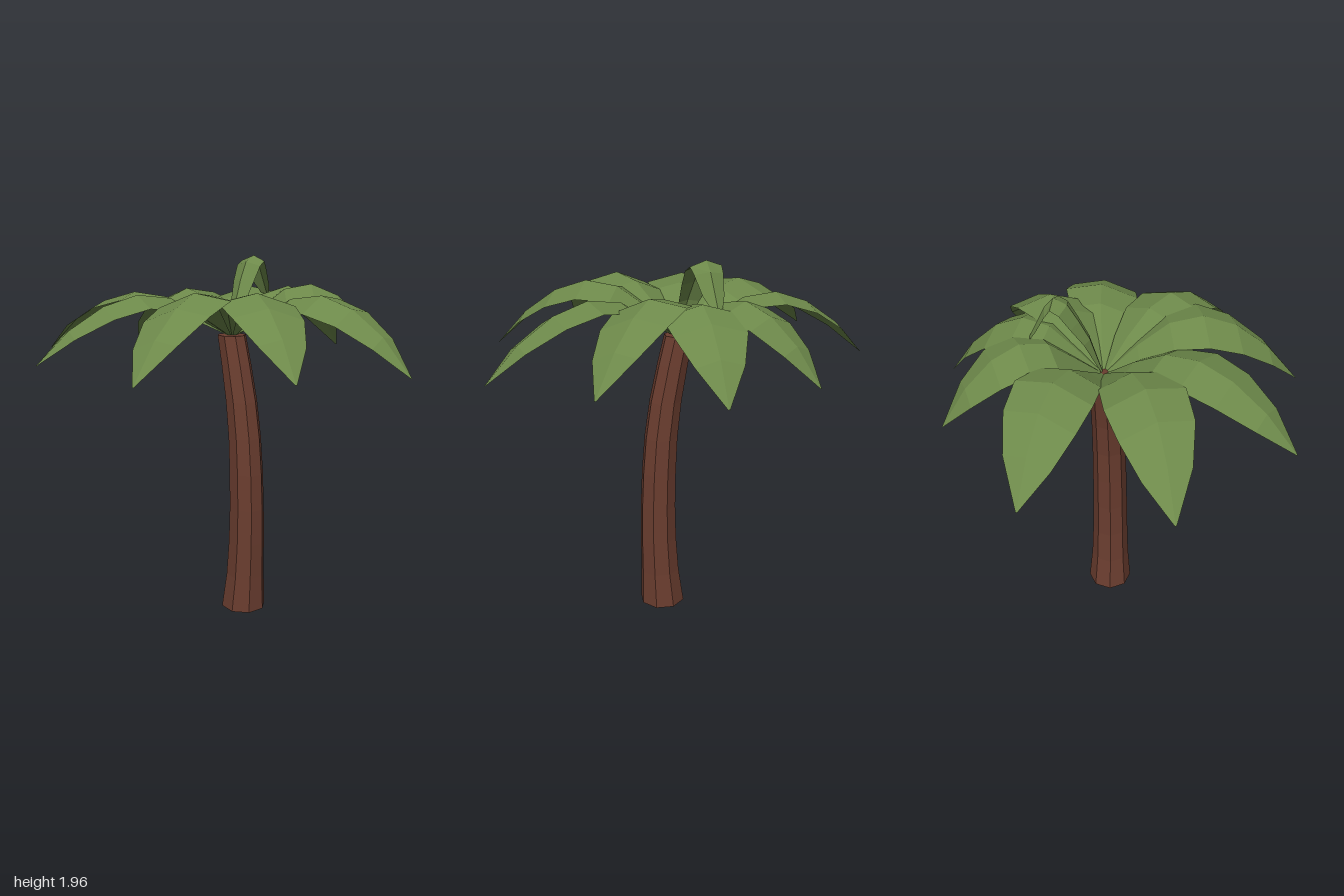
import * as THREE from 'three';

// Faceted skin over rows of [x, y, z] points
function loft(rows) {
  const pos = [], index = [], n = rows[0].length;
  rows.forEach(row => row.forEach(p => pos.push(...p)));
  for (let r = 0; r < rows.length - 1; r++) {
    for (let i = 0; i < n - 1; i++) {
      const a = r * n + i, b = a + 1, c = a + n, d = c + 1;
      index.push(a, c, b, b, c, d);
    }
  }
  const g = new THREE.BufferGeometry();
  g.setAttribute('position', new THREE.Float32BufferAttribute(pos, 3));
  g.setIndex(index);
  const flat = g.toNonIndexed();
  flat.computeVertexNormals();
  return flat;
}

export function createModel() {
  const bark = new THREE.MeshStandardMaterial({ color: 0x6a3d2f, side: THREE.DoubleSide });
  bark.name = 'bark';
  const leaf = new THREE.MeshStandardMaterial({ color: 0x6d894a, side: THREE.DoubleSide });
  leaf.name = 'leafGreen';

  const tree = new THREE.Group();
  tree.name = 'palmTree';
  const add = (name, geometry, material) => {
    const m = new THREE.Mesh(geometry, material);
    m.name = name;
    tree.add(m);
  };

  // Bent eight-sided hollow trunk, open below and closed on top: [y, centre x, radius]
  const sections = [
    [0, 0.077, 0.126], [0.2, 0.09, 0.109], [0.4, 0.098, 0.102], [0.6, 0.099, 0.098],
    [0.8, 0.093, 0.095], [1, 0.08, 0.091], [1.2, 0.054, 0.087], [1.4, 0.014, 0.082],
    [1.55, -0.02, 0.078], [1.55, -0.02, 0],
  ];
  add('trunk', loft(sections.map(([y, x, r]) => {
    const ring = [];
    for (let i = 0; i <= 8; i++) {
      const a = (i % 8) * Math.PI / 4 + 0.57;
      ring.push([x + r * Math.cos(a), y, -0.073 + r * Math.sin(a)]);
    }
    return ring;
  })), bark);

  // Arching fronds: [tip x, tip z, tip y, crown height, sideways bow]
  const cx = -0.02, cz = -0.075, baseY = 1.55;
  const fronds = [
    [-1, -0.24, 1.42, 1.765, 0.04], [-0.97, 0.44, 1.44, 1.77, -0.04],
    [-0.4, 0.915, 1.455, 1.78, 0], [0.3, 0.885, 1.44, 1.81, -0.04],
    [0.84, 0.43, 1.46, 1.81, 0.02], [1, -0.235, 1.42, 1.78, -0.04],
    [0.58, -0.68, 1.44, 1.815, -0.05], [0.05, -0.92, 1.42, 1.79, 0],
    [-0.47, -0.78, 1.42, 1.78, 0.02],
  ];
  // Along a frond: [fraction of length, half width, height from tip (0) to crown (1)]
  const shape = [
    [0.02, 0.012, 0.33], [0.17, 0.09, 0.64], [0.33, 0.16, 0.93], [0.5, 0.193, 1],
    [0.67, 0.175, 0.84], [0.84, 0.115, 0.5], [1, 0.004, 0],
  ];
  fronds.forEach(([tx, tz, tipY, crown, bow], k) => {
    const length = Math.hypot(tx - cx, tz - cz);
    const dx = (tx - cx) / length, dz = (tz - cz) / length;
    const rows = shape.map(([t, w, h], i) => {
      const y = i === 0 ? baseY : tipY + h * (crown - tipY);
      const shift = bow * Math.sin(Math.PI * t);
      return [-1, 0, 1].map(s => {
        const side = s * w + shift;
        // Edges droop, and the bowed side is rolled slightly upward
        return [
          cx + dx * t * length - dz * side,
          y - Math.abs(s) * w * 0.28 + s * w * bow * 3,
          cz + dz * t * length + dx * side,
        ];
      });
    });
    add('frond' + (k + 1), loft(rows), leaf);
  });

  // Young upright frond curling backward: [x, y, z, half width]
  const curl = [
    [-0.02, 1.55, -0.08, 0.012], [-0.045, 1.74, -0.135, 0.055], [-0.06, 1.84, -0.185, 0.075],
    [-0.07, 1.928, -0.237, 0.085], [-0.075, 1.96, -0.305, 0.082], [-0.08, 1.91, -0.35, 0.075],
    [-0.085, 1.81, -0.4, 0.055], [-0.09, 1.73, -0.44, 0.02],
  ];
  add('youngFrond', loft(curl.map(([x, y, z, w], i) => {
    // Edges fold toward the inside of the curl
    const p = curl[Math.max(i - 1, 0)], q = curl[Math.min(i + 1, curl.length - 1)];
    const ty = q[1] - p[1], tz = q[2] - p[2], l = Math.hypot(ty, tz), fold = w * 0.35;
    return [-1, 0, 1].map(s => {
      const f = Math.abs(s) * fold / l;
      return [x + s * w, y + tz * f, z - ty * f];
    });
  })), leaf);

  return tree;
}
